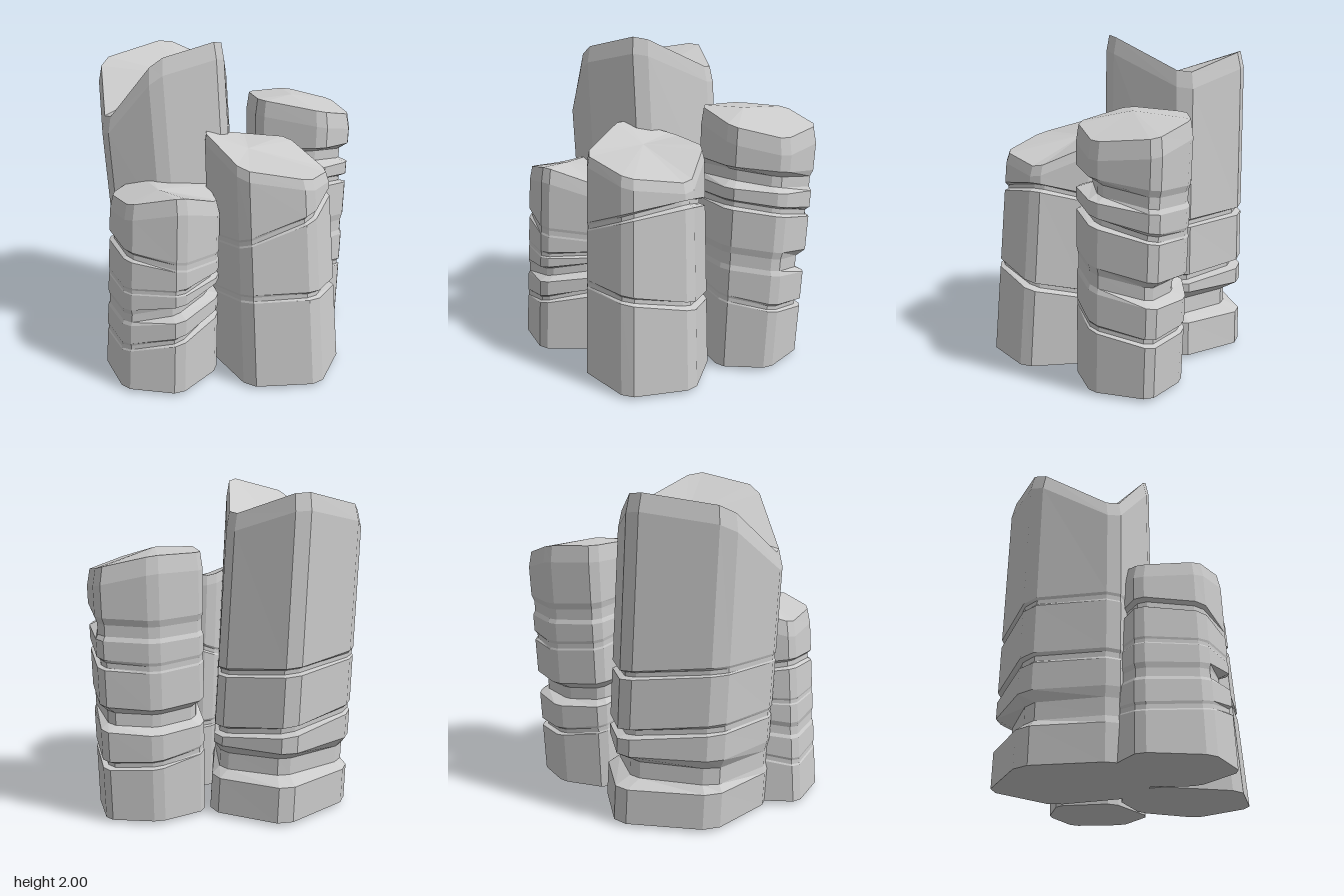
import * as THREE from 'three';

const CHAMFER = 0.11;

// Replaces every corner of an outline by two points a little way along its edges
function chamfer(corners) {
  const n = corners.length;
  const toward = (a, b) => a.map((v, k) => v + (b[k] - v) * CHAMFER);
  return corners.flatMap((c, i) => [
    toward(c, corners[(i + n - 1) % n]),
    toward(c, corners[(i + 1) % n]),
  ]);
}

// corners: base outline [x, z, rim height], clockwise from above.
// The rim is the base scaled about the axis and moved by drift; swell widens the shoulder.
// cuts: cracks and notches; y = height, h = opening, d = depth, dir = side where deepest,
// slope = tilt of the cut along x and z.
function buildColumn(name, material, { axis, peak, corners, scale, drift, bevel, swell, cuts }) {
  const outline = chamfer(corners);
  const n = outline.length;
  const [ax, az] = axis;
  const rim = ([x, z], grow = 1) => [
    ax + (x - ax) * scale * grow + drift[0],
    az + (z - az) * scale * grow + drift[1],
  ];

  // Wall point at height y, pulled towards the axis by an inset that favours one side
  const wall = (p, y, inset = 0, dir = [0, 1]) => {
    const t = y / (p[2] - bevel);
    const [sx, sz] = rim(p, swell);
    const x = p[0] + (sx - p[0]) * t;
    const z = p[1] + (sz - p[1]) * t;
    const reach = Math.hypot(x - ax, z - az) * Math.hypot(...dir);
    const facing = Math.max(0, ((x - ax) * dir[0] + (z - az) * dir[1]) / reach);
    const k = inset * (0.12 + 0.88 * facing);
    return [x + (ax - x) * k, y, z + (az - z) * k];
  };

  const rings = [outline.map((p) => wall(p, 0.02))];
  // Each cut is a lip, two recessed rings and another lip
  for (const { y, h, d, dir, slope = [0, 0] } of cuts) {
    for (const [f, inset] of [[0, 0], [0.2, d], [0.7, d], [1, 0]]) {
      rings.push(outline.map((p) => {
        const tilt = slope[0] * (p[0] - ax) + slope[1] * (p[1] - az);
        return wall(p, y + h * f + tilt, inset, dir);
      }));
    }
  }
  // Shoulder and bevelled rim
  rings.push(outline.map((p) => wall(p, p[2] - bevel)));
  rings.push(outline.map((p) => {
    const [x, z] = rim(p);
    return [x, p[2], z];
  }));

  const positions = rings.flat(2);
  const foot = rings.length * n;
  positions.push(ax, 0, az, ax, peak, az);
  const index = [];
  for (let i = 0; i < n; i++) {
    const j = (i + 1) % n;
    for (let lo = 0; lo < foot - n; lo += n) {
      const up = lo + n;
      index.push(lo + i, up + i, up + j, lo + i, up + j, lo + j);
    }
    // Underside and faceted top
    index.push(foot, i, j, foot + 1, foot - n + j, foot - n + i);
  }
  const geometry = new THREE.BufferGeometry();
  geometry.setAttribute('position', new THREE.Float32BufferAttribute(positions, 3));
  geometry.setIndex(index);
  geometry.computeVertexNormals();
  const mesh = new THREE.Mesh(geometry, material);
  mesh.name = name;
  return mesh;
}

export function createModel() {
  const group = new THREE.Group();
  group.name = 'rockColumns';
  const stone = new THREE.MeshStandardMaterial({ color: 0xcccccc, flatShading: true });

  group.add(buildColumn('tallBackColumn', stone, {
    axis: [-0.28, -0.2], peak: 1.75, scale: 0.92, drift: [-0.09, 0.02], bevel: 0.1, swell: 1.05,
    corners: [[-0.72, -0.45, 1.83], [-0.24, -0.76, 1.91], [0.15, -0.47, 1.77],
      [0.03, 0.12, 2.01], [-0.4, 0.23, 1.92], [-0.72, 0.07, 1.53]],
    cuts: [
      { y: 0.23, h: 0.2, d: 0.2, dir: [0.1, -1] },
      { y: 0.53, h: 0.06, d: 0.12, dir: [0.3, -1], slope: [-0.12, 0] },
      { y: 0.88, h: 0.05, d: 0.08, dir: [0.3, -1], slope: [-0.1, 0] },
    ],
  }));

  group.add(buildColumn('backColumn', stone, {
    axis: [0.44, -0.25], peak: 1.59, scale: 1, drift: [0.03, -0.04], bevel: 0.1, swell: 1.05,
    corners: [[0.17, -0.45, 1.57], [0.46, -0.57, 1.56], [0.76, -0.48, 1.49],
      [0.79, -0.13, 1.46], [0.55, 0.07, 1.53], [0.17, -0.09, 1.59]],
    cuts: [
      { y: 0.4, h: 0.05, d: 0.1, dir: [0.6, -0.8], slope: [-0.1, 0.2] },
      { y: 0.6, h: 0.15, d: 0.25, dir: [-0.1, -1], slope: [0, 0.2] },
      { y: 0.97, h: 0.06, d: 0.13, dir: [0.7, 0.5], slope: [0, 0.22] },
      { y: 1.12, h: 0.13, d: 0.3, dir: [0.3, 1], slope: [0, 0.15] },
    ],
  }));

  group.add(buildColumn('frontColumn', stone, {
    axis: [0.06, 0.23], peak: 1.38, scale: 0.88, drift: [-0.04, -0.04], bevel: 0.06, swell: 1.04,
    corners: [[-0.2, 0.2, 1.49], [0.1, -0.05, 1.4], [0.44, 0.03, 1.38],
      [0.64, 0.38, 1.24], [0.42, 0.73, 1.29], [-0.02, 0.69, 1.36]],
    cuts: [
      { y: 0.47, h: 0.05, d: 0.1, dir: [1, -0.3], slope: [0, 0.2] },
      { y: 0.9, h: 0.05, d: 0.1, dir: [1, -0.3], slope: [0.34, 0.05] },
    ],
  }));

  group.add(buildColumn('shortFrontColumn', stone, {
    axis: [-0.5, 0.37], peak: 1.2, scale: 0.88, drift: [0.05, -0.02], bevel: 0.09, swell: 1.07,
    corners: [[-0.86, 0.2, 1.13], [-0.63, 0.02, 1.2], [-0.2, 0.14, 1.15],
      [-0.17, 0.45, 1.12], [-0.43, 0.69, 1.23], [-0.76, 0.57, 1.17]],
    cuts: [
      { y: 0.32, h: 0.05, d: 0.14, dir: [1, 0.2], slope: [0.22, 0] },
      { y: 0.47, h: 0.1, d: 0.25, dir: [0.7, 0.7], slope: [0.15, 0] },
      { y: 0.64, h: 0.04, d: 0.12, dir: [1, -0.2], slope: [0.03, 0] },
      { y: 0.8, h: 0.06, d: 0.1, dir: [-1, 0], slope: [-0.15, 0] },
    ],
  }));

  return group;
}
